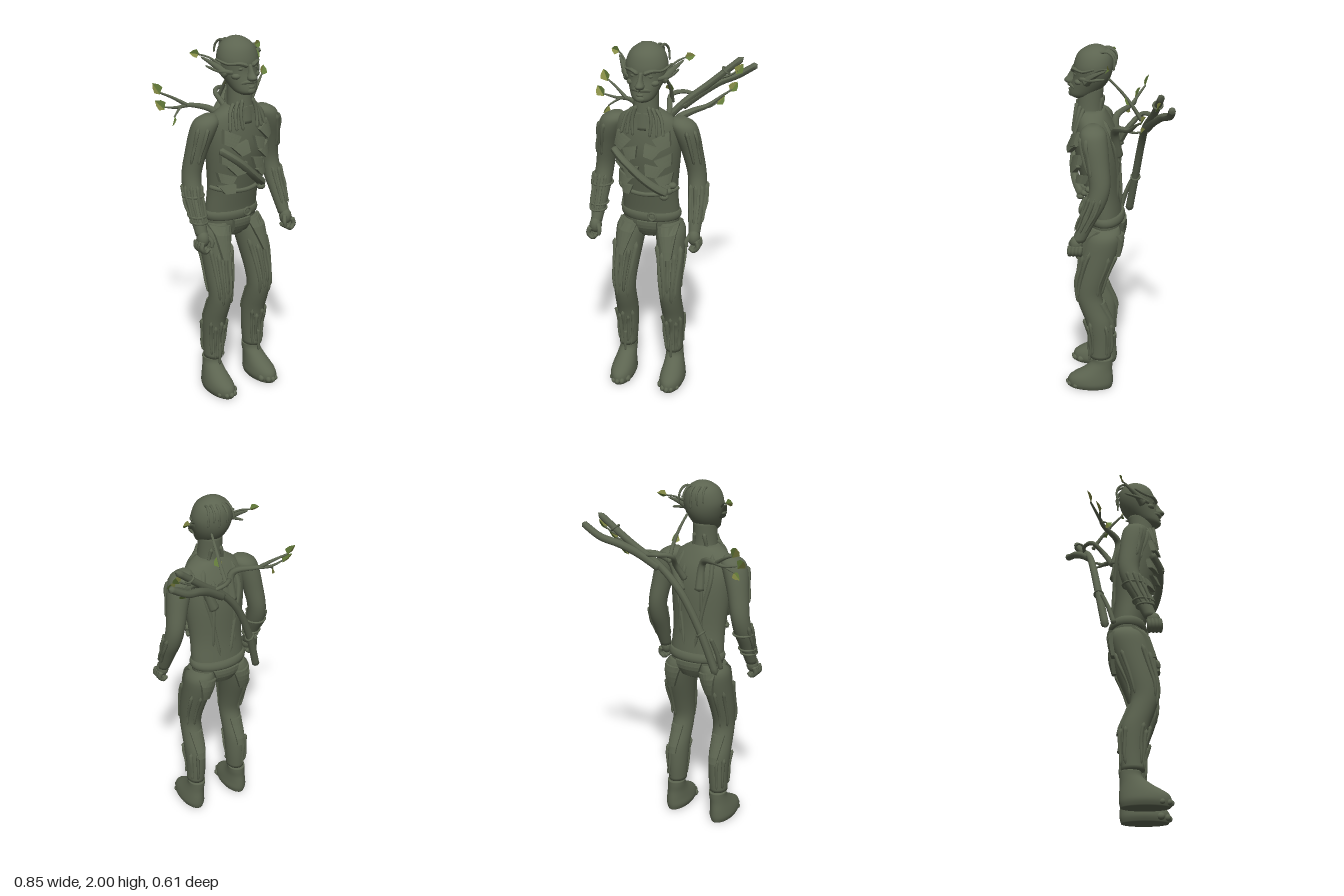
import * as THREE from 'three';

const V = (x, y, z) => new THREE.Vector3(x, y, z);
const bark = new THREE.MeshStandardMaterial({ color: 0x5c6450 });
bark.name = 'bark';
const leafGreen = new THREE.MeshStandardMaterial({ color: 0x647c3a, side: THREE.DoubleSide });
leafGreen.name = 'leafGreen';
const leafPale = new THREE.MeshStandardMaterial({ color: 0x868c46, side: THREE.DoubleSide });
leafPale.name = 'leafPale';

const CX = -0.06; // body axis

// Sections are [y, x, z, rx, rz], listed upwards; t runs over the section index.
function sample(sec, t) {
  const n = sec.length - 1;
  const i = Math.min(n - 1, Math.max(0, Math.floor(t)));
  const f = t - i;
  const at = k => sec[Math.min(n, Math.max(0, k))];
  return sec[i].map((_, k) => {
    const a = at(i - 1)[k], b = at(i)[k], c = at(i + 1)[k], d = at(i + 2)[k];
    return b + 0.5 * f * (c - a + f * (2 * a - 5 * b + 4 * c - d + f * (3 * (b - c) + d - a)));
  });
}
function sampleY(sec, y) {
  let i = 0;
  while (i < sec.length - 2 && sec[i + 1][0] < y) i++;
  return sample(sec, i + THREE.MathUtils.clamp((y - sec[i][0]) / (sec[i + 1][0] - sec[i][0]), 0, 1));
}
// Point on a lofted surface: angle 0 is the front, PI / 2 is +x
function onSurf(sec, y, a, off = 0) {
  const [, x, z, rx, rz] = sampleY(sec, y);
  return V(x + (rx + off) * Math.sin(a), y, z + (rz + off) * Math.cos(a));
}
function loft(sec, sides = 28, steps = 4) {
  const rings = [];
  const total = (sec.length - 1) * steps;
  for (let j = 0; j <= total; j++) rings.push(sample(sec, j / steps));
  const cap = r => [r[0], r[1], r[2], 0, 0];
  rings.unshift(cap(rings[0]));
  rings.push(cap(rings[rings.length - 1]));
  const pos = [], idx = [];
  rings.forEach(([y, x, z, rx, rz], j) => {
    for (let i = 0; i < sides; i++) {
      const a = i / sides * Math.PI * 2;
      pos.push(x + rx * Math.sin(a), y, z + rz * Math.cos(a));
      if (j) {
        const p = (j - 1) * sides + i, q = (j - 1) * sides + (i + 1) % sides;
        idx.push(p, q, q + sides, p, q + sides, p + sides);
      }
    }
  });
  const g = new THREE.BufferGeometry();
  g.setAttribute('position', new THREE.Float32BufferAttribute(pos, 3));
  g.setIndex(idx);
  g.computeVertexNormals();
  return g;
}
// Tapered branch through points, pinched shut at its ends unless it is a ring
function branch(pts, r0, r1 = r0, closed = false, seg = pts.length * 6, sides = 8) {
  const curve = new THREE.CatmullRomCurve3(pts, closed);
  const g = new THREE.TubeGeometry(curve, seg, 1, sides, closed);
  const p = g.attributes.position, v = V(0, 0, 0);
  for (let i = 0; i <= seg; i++) {
    const c = curve.getPointAt(i / seg);
    const end = !closed && (i === 0 || i === seg);
    const r = end ? 0 : THREE.MathUtils.lerp(r0, r1, i / seg);
    for (let j = 0; j <= sides; j++) {
      const k = i * (sides + 1) + j;
      v.fromBufferAttribute(p, k).sub(c).multiplyScalar(r).add(c);
      p.setXYZ(k, v.x, v.y, v.z);
    }
  }
  g.computeVertexNormals();
  return g;
}

const torso = [[0.91, 0, 0.07, 0.08, 0.06], [0.98, 0, 0.07, 0.15, 0.092], [1.06, 0, 0.075, 0.158, 0.092],
  [1.2, 0, 0.095, 0.155, 0.1], [1.4, 0, 0.115, 0.175, 0.12], [1.52, 0, 0.125, 0.178, 0.112],
  [1.6, 0, 0.137, 0.15, 0.09], [1.65, 0, 0.15, 0.075, 0.075]];
const neck = [[1.56, 0, 0.15, 0.085, 0.085], [1.65, 0, 0.155, 0.068, 0.07], [1.78, 0, 0.145, 0.064, 0.066]];
const head = [[1.712, 0, 0.205, 0.03, 0.035], [1.73, 0, 0.195, 0.058, 0.066], [1.775, 0, 0.165, 0.08, 0.09],
  [1.83, 0, 0.14, 0.1, 0.1], [1.89, 0, 0.132, 0.11, 0.105], [1.95, 0, 0.125, 0.09, 0.09],
  [1.985, 0, 0.12, 0.05, 0.05], [1.998, 0, 0.12, 0.012, 0.012]];
const nose = [[1.79, 0, 0.255, 0.02, 0.022], [1.805, 0, 0.258, 0.024, 0.032], [1.83, 0, 0.246, 0.014, 0.025],
  [1.87, 0, 0.232, 0.01, 0.016]];
const belt = [[1.015, 0, 0.07, 0.16, 0.1], [1.03, 0, 0.07, 0.168, 0.106], [1.05, 0, 0.072, 0.168, 0.106],
  [1.065, 0, 0.073, 0.16, 0.1]];
const side = (s, sec) => sec.map(([y, x, ...r]) => [y, x * s, ...r]);
const legSec = s => side(s, [[0.195, 0.138, 0.095, 0.05, 0.06], [0.3, 0.135, 0.092, 0.055, 0.064],
  [0.42, 0.135, 0.105, 0.06, 0.072], [0.52, 0.133, 0.14, 0.06, 0.072], [0.6, 0.132, 0.158, 0.06, 0.073],
  [0.7, 0.13, 0.14, 0.066, 0.083], [0.85, 0.12, 0.098, 0.077, 0.098], [0.95, 0.11, 0.075, 0.082, 0.098],
  [1.0, 0.095, 0.07, 0.06, 0.08]]);
const armSec = s => side(s, [[0.99, 0.277, 0.195, 0.03, 0.035], [1.1, 0.272, 0.148, 0.042, 0.045],
  [1.2, 0.267, 0.103, 0.049, 0.054], [1.3, 0.257, 0.08, 0.051, 0.056], [1.42, 0.235, 0.095, 0.057, 0.064],
  [1.52, 0.21, 0.113, 0.067, 0.073], [1.58, 0.188, 0.12, 0.066, 0.066], [1.612, 0.172, 0.122, 0.03, 0.03]]);
const footSec = s => side(s, [[0, 0.147, 0.155, 0.058, 0.125], [0.03, 0.147, 0.155, 0.07, 0.132],
  [0.07, 0.147, 0.148, 0.066, 0.125], [0.12, 0.144, 0.11, 0.055, 0.083], [0.16, 0.14, 0.085, 0.05, 0.06],
  [0.19, 0.139, 0.08, 0.05, 0.056]]);

export function createModel() {
  const model = new THREE.Group();
  const body = new THREE.Group();
  body.name = 'body';
  body.position.x = CX;
  model.add(body);
  const add = (name, geo, parent = body, mat = bark) => {
    const m = new THREE.Mesh(geo, mat);
    m.name = name;
    parent.add(m);
  };
  const ball = (name, x, y, z, rx, ry, rz) =>
    add(name, new THREE.SphereGeometry(1, 14, 10).scale(rx, ry, rz).translate(x, y, z));
  // Bark strip lying on a surface from (y0, a0) to (y1, a1)
  const strip = (name, sec, y0, a0, y1, a1, r, off = 0.004) => {
    const pts = [0, 1, 2, 3, 4].map(i => onSurf(sec, y0 + (y1 - y0) * i / 4,
      a0 + (a1 - a0) * i / 4, off + 0.003 * Math.sin(i * 2.3 + a0 * 5)));
    add(name, branch(pts, r, r * 0.55, false, 16, 6));
  };
  // Slab bent onto the front (dir 1) or back (dir -1) of a surface, its lower edge flaring away
  const plate = (name, sec, x, y, w, h, turn, dir, thick, taper, flare = 0) => {
    let g = new THREE.BoxGeometry(w, h, thick, 5, 4, 1);
    const p = g.attributes.position;
    for (let i = 0; i < p.count; i++) {
      const low = 0.5 - p.getY(i) / h;
      p.setX(i, p.getX(i) * (1 + (taper - 1) * low));
      p.setZ(i, p.getZ(i) + dir * flare * low);
    }
    g.rotateZ(turn);
    for (let i = 0; i < p.count; i++) {
      const px = p.getX(i) + x, py = p.getY(i) + y;
      const [, cx, cz, rx, rz] = sampleY(sec, py);
      const u = Math.min(0.97, Math.abs(px - cx) / rx);
      p.setXYZ(i, px, py, cz + dir * rz * Math.sqrt(1 - u * u) + p.getZ(i) + dir * 0.006);
    }
    g = g.toNonIndexed();
    g.computeVertexNormals();
    add(name, g);
  };

  add('torso', loft(torso, 36));
  add('neck', loft(neck));
  add('head', loft(head, 32));

  // Face
  add('nose', loft(nose, 14));
  ball('chin', 0, 1.735, 0.25, 0.026, 0.018, 0.018);
  add('lowerLip', branch([V(-0.03, 1.758, 0.232), V(0, 1.756, 0.26), V(0.03, 1.758, 0.232)], 0.008));
  for (const s of [-1, 1]) {
    add('moustache', branch([V(0, 1.785, 0.264), V(s * 0.03, 1.782, 0.248), V(s * 0.06, 1.768, 0.215)], 0.012, 0.005));
    add('brow', branch([V(s * 0.012, 1.862, 0.242), V(s * 0.05, 1.876, 0.228), V(s * 0.095, 1.872, 0.18),
      V(s * 0.13, 1.895, 0.115)], 0.013, 0.005));
    ball('eye', s * 0.042, 1.848, 0.22, 0.018, 0.01, 0.012);
    ball('cheek', s * 0.058, 1.81, 0.203, 0.028, 0.018, 0.026);
    // Long twig ears
    add('ear', branch([V(s * 0.085, 1.81, 0.17), V(s * 0.13, 1.86, 0.12), V(s * 0.175, 1.9, 0.055)], 0.026, 0.004));
    add('earTwig', branch([V(s * 0.07, 1.83, 0.2), V(s * 0.125, 1.835, 0.14), V(s * 0.15, 1.85, 0.06)], 0.014, 0.005));
    add('earStem', branch([V(s * 0.1, 1.86, 0.14), V(s * 0.15, 1.9, 0.08), V(s * 0.185, 1.912, 0.04)], 0.007, 0.004));
  }
  // Root hair arching off the back of the skull
  [-0.05, -0.02, 0.015, 0.045, 0.07].forEach((x, i) => add('hairRoot', branch([
    V(x * 0.8, 1.965, 0.1), V(x, 1.972, 0.052), V(x * 1.15, 1.945, 0.02 - 0.006 * (i % 2)),
    V(x * 1.25, 1.9 - 0.02 * (i % 3), 0.012 + 0.006 * (i % 3))], 0.008, 0.005)));

  // Chest bark shards, collar and hanging back strips
  const chest = [[0.115, 1.5, 0.09, 0.07, 0.45], [0.055, 1.445, 0.09, 0.055, -0.35], [0.12, 1.385, 0.09, 0.055, 0.4],
    [0.06, 1.33, 0.1, 0.05, -0.25], [0.115, 1.275, 0.09, 0.045, 0.3], [0.1, 1.215, 0.08, 0.04, -0.1]];
  for (const s of [-1, 1]) {
    for (const [x, y, w, h, r] of chest) plate('chestShard', torso, s * x, y + s * 0.008, w, h, s * r, 1, 0.026, 0.55, 0.026);
    for (let i = 0; i < 3; i++) {
      add('collarStrip', branch([V(s * (0.032 + i * 0.014), 1.69 - i * 0.012, 0.22 - i * 0.02),
        V(s * (0.05 + i * 0.022), 1.62, 0.23 - i * 0.016), V(s * (0.045 + i * 0.035), 1.53, 0.245 - i * 0.008)], 0.011, 0.008));
    }
    strip('backStrip', torso, 1.62, Math.PI - s * 0.75, 1.1, Math.PI - s * 0.2, 0.016);
    strip('backStrip', torso, 1.56, Math.PI - s * 0.3, 1.16, Math.PI - s * 0.45, 0.014);
    strip('neckRoot', neck, 1.72, Math.PI - s * 0.4, 1.58, Math.PI - s * 0.8, 0.012);
  }
  // Sash across the chest, ending in a knot
  const sash = [[1.44, -0.95], [1.4, -0.6], [1.355, -0.3], [1.3, 0], [1.245, 0.35], [1.2, 0.75]];
  add('sash', branch(sash.map(([y, a]) => onSurf(torso, y, a, 0.03)), 0.02, 0.024));
  add('waistRope', branch([-1.5, -1, -0.5, 0, 0.5, 1, 1.5].map(a => onSurf(torso, 1.2 - 0.012 * Math.cos(a * 2), a, 0.01)), 0.012));
  for (const y of [0, 0.025, 0.05]) ball('sashKnot', 0.11 + y * 0.6, 1.185 + y, 0.2 - y, 0.025, 0.018, 0.022);

  // Belt, buckle and hip cloths
  add('belt', loft(belt, 36, 2));
  add('buckle', new THREE.TorusGeometry(0.021, 0.006, 8, 20).translate(0.036, 1.05, 0.18));
  plate('frontCloth', torso, 0.005, 0.975, 0.11, 0.08, 0, 1, 0.03, 0.85);
  plate('backCloth', torso, 0, 0.97, 0.16, 0.09, 0, -1, 0.03, 0.6);

  for (const s of [-1, 1]) {
    // Leg with bark strips
    const leg = legSec(s);
    add('leg', loft(leg));
    plate('thighGuard', leg, s * 0.125, 0.905, 0.11, 0.17, s * 0.12, 1, 0.022, 0.3, 0.01);
    plate('seatGuard', leg, s * 0.115, 0.9, 0.1, 0.13, s * 0.1, -1, 0.022, 0.4, 0.006);
    plate('calfGuard', leg, s * 0.135, 0.47, 0.075, 0.16, 0, -1, 0.012, 0.6, 0.008);
    [-0.8, -0.35, 0.1, 0.55, 1.0].forEach((a, i) => {
      strip('thighStrip', leg, 0.88 - 0.03 * (i % 2), s * a, 0.55 + 0.035 * (i % 3), s * (a * 0.7), 0.014);
      strip('shinStrip', leg, 0.44 - 0.03 * (i % 2), s * a, 0.2 + 0.02 * (i % 3), s * a * 0.8, 0.012);
    });
    add('shinTip', branch([onSurf(leg, 0.3, 0, 0.002), onSurf(leg, 0.22, 0, 0.006), V(s * 0.137, 0.16, 0.158)], 0.011, 0.006));
    for (const a of [2.2, 2.8]) {
      strip('hamstringStrip', leg, 0.85, s * a, 0.6, s * (a + 0.1), 0.012);
      strip('calfStrip', leg, 0.42, s * a, 0.22, s * a, 0.012);
    }
    // Foot and a row of toes, the big toe on the inside
    const foot = footSec(s);
    add('foot', loft(foot));
    for (let i = 0; i < 5; i++) {
      const r = 0.02 - i * 0.0015;
      const c = onSurf(foot, 0.03, s * Math.asin((i - 2) * 0.38), -0.006);
      ball('toe', c.x, r + 0.008, c.z, r * 0.85, r, r * 1.1);
    }
    // Arm with shoulder and forearm bark
    const arm = armSec(s);
    add('arm', loft(arm));
    for (const a of [-0.5, 0.1, 0.7, 1.3, 1.9]) strip('bracerStrip', arm, 1.25, s * a, 1.05, s * a, 0.011);
    for (const a of [0.2, 0.9]) strip('shoulderStrip', arm, 1.56, s * (a + 0.2), 1.36, s * a, 0.013, 0);
    // Curled hand
    ball('palm', s * 0.278, 0.975, 0.208, 0.034, 0.045, 0.036);
    for (let i = 0; i < 4; i++) {
      const z = 0.243 - i * 0.019;
      add('finger', branch([V(s * 0.3, 0.97, z - 0.005), V(s * 0.308, 0.935, z), V(s * 0.285, 0.912, z), V(s * 0.262, 0.93, z)], 0.014, 0.011));
    }
    add('thumb', branch([V(s * 0.262, 0.99, 0.22), V(s * 0.245, 0.96, 0.242), V(s * 0.25, 0.93, 0.245)], 0.014, 0.01));
  }
  for (const y of [1.06, 1.09, 1.19]) add('wristRing', branch(Array.from({ length: 12 }, (_, i) =>
    onSurf(armSec(-1), y, i * Math.PI / 6, 0.006)), 0.006, 0.006, true, 24));

  // Forked staff carried across the back
  const pack = new THREE.Group();
  pack.name = 'backBranches';
  model.add(pack);
  const twig = (name, pts, r0, r1) => add(name, branch(pts.map(p => V(...p)), r0, r1, false, pts.length * 8), pack);
  twig('staff', [[-0.245, 0.98, -0.045], [-0.16, 1.25, -0.09], [-0.06, 1.46, -0.125], [0.05, 1.59, -0.152],
    [0.185, 1.7, -0.2], [0.36, 1.85, -0.245]], 0.022, 0.018);
  twig('staffFork', [[0.04, 1.57, -0.15], [0.14, 1.645, -0.195], [0.23, 1.7, -0.245], [0.32, 1.735, -0.285], [0.425, 1.8, -0.298]], 0.024, 0.018);
  twig('hipTwig', [[-0.25, 1.0, 0], [-0.24, 1.1, -0.03], [-0.22, 1.2, -0.07]], 0.014, 0.01);
  for (const [x, y, z] of [[-0.17, 1.22, -0.086], [0.27, 1.775, -0.222]])
    add('staffRing', new THREE.TorusGeometry(0.023, 0.006, 8, 18).rotateX(Math.PI / 2).rotateZ(-0.7).translate(x, y, z), pack);
  // Living branches growing from the shoulder blades
  twig('rightBranch', [[-0.11, 1.42, 0.0], [-0.12, 1.58, 0.02], [-0.22, 1.62, -0.055], [-0.3, 1.615, -0.075], [-0.38, 1.63, -0.075]], 0.028, 0.004);
  twig('rightTwig', [[-0.24, 1.62, -0.06], [-0.31, 1.665, -0.1], [-0.37, 1.695, -0.13]], 0.011, 0.005);
  twig('rightTwig', [[-0.28, 1.615, -0.07], [-0.32, 1.59, -0.05], [-0.34, 1.575, -0.04]], 0.007, 0.004);
  twig('leftBranch', [[0.0, 1.4, 0.0], [0.07, 1.56, 0.01], [0.14, 1.6, -0.02], [0.21, 1.62, -0.075], [0.28, 1.67, -0.115], [0.325, 1.7, -0.145]], 0.031, 0.004);
  twig('leftTwig', [[0.18, 1.61, -0.06], [0.22, 1.61, -0.1], [0.25, 1.625, -0.14]], 0.01, 0.004);
  twig('staffTwig', [[0.22, 1.73, -0.21], [0.29, 1.75, -0.22], [0.335, 1.78, -0.23]], 0.009, 0.004);
  twig('middleBranch', [[-0.03, 1.48, -0.01], [0.0, 1.57, -0.06], [-0.01, 1.64, -0.13], [0.05, 1.65, -0.18], [0.11, 1.64, -0.18]], 0.018, 0.01);
  twig('middleTwig', [[0.0, 1.6, -0.13], [0.005, 1.69, -0.075], [0.0, 1.76, -0.02], [-0.01, 1.83, 0.05]], 0.012, 0.006);

  // Folded leaves, one half of each paler
  const leaf = (x, y, z, dx, dy, dz, len = 0.072) => {
    const g = new THREE.Group();
    g.name = 'leaf';
    g.position.set(x, y, z);
    g.quaternion.setFromUnitVectors(V(0, 1, 0), V(dx, dy, dz).normalize());
    for (const s of [-1, 1]) {
      const half = new THREE.BufferGeometry().setFromPoints([V(0, 0, 0), V(s * 0.4, 0.35, 0.2), V(s * 0.28, 0.7, 0.15), V(0, 1, 0)]);
      half.setIndex(s > 0 ? [0, 1, 2, 0, 2, 3] : [0, 2, 1, 0, 3, 2]);
      half.scale(len, len, len);
      half.computeVertexNormals();
      add('leafHalf', half, g, s > 0 ? leafGreen : leafPale);
    }
    model.add(g);
  };
  leaf(-0.37, 1.685, -0.125, -0.5, 1, -0.35);
  leaf(-0.375, 1.615, -0.075, -0.6, 0.7, -0.3);
  leaf(-0.335, 1.58, -0.04, -0.5, -0.8, 0.3, 0.055);
  leaf(0.315, 1.685, -0.14, 0.5, 0.8, -0.4, 0.066);
  leaf(0.245, 1.61, -0.135, 0.6, 0.7, -0.4, 0.06);
  leaf(0.325, 1.76, -0.222, 0.5, 0.8, -0.3, 0.066);
  leaf(0.005, 1.69, -0.07, 0.1, 0.8, 0.5, 0.06);
  for (const s of [-1, 1]) leaf(CX + s * 0.175, 1.91, 0.045, s, 0.2, -0.3, 0.055);
  return model;
}
